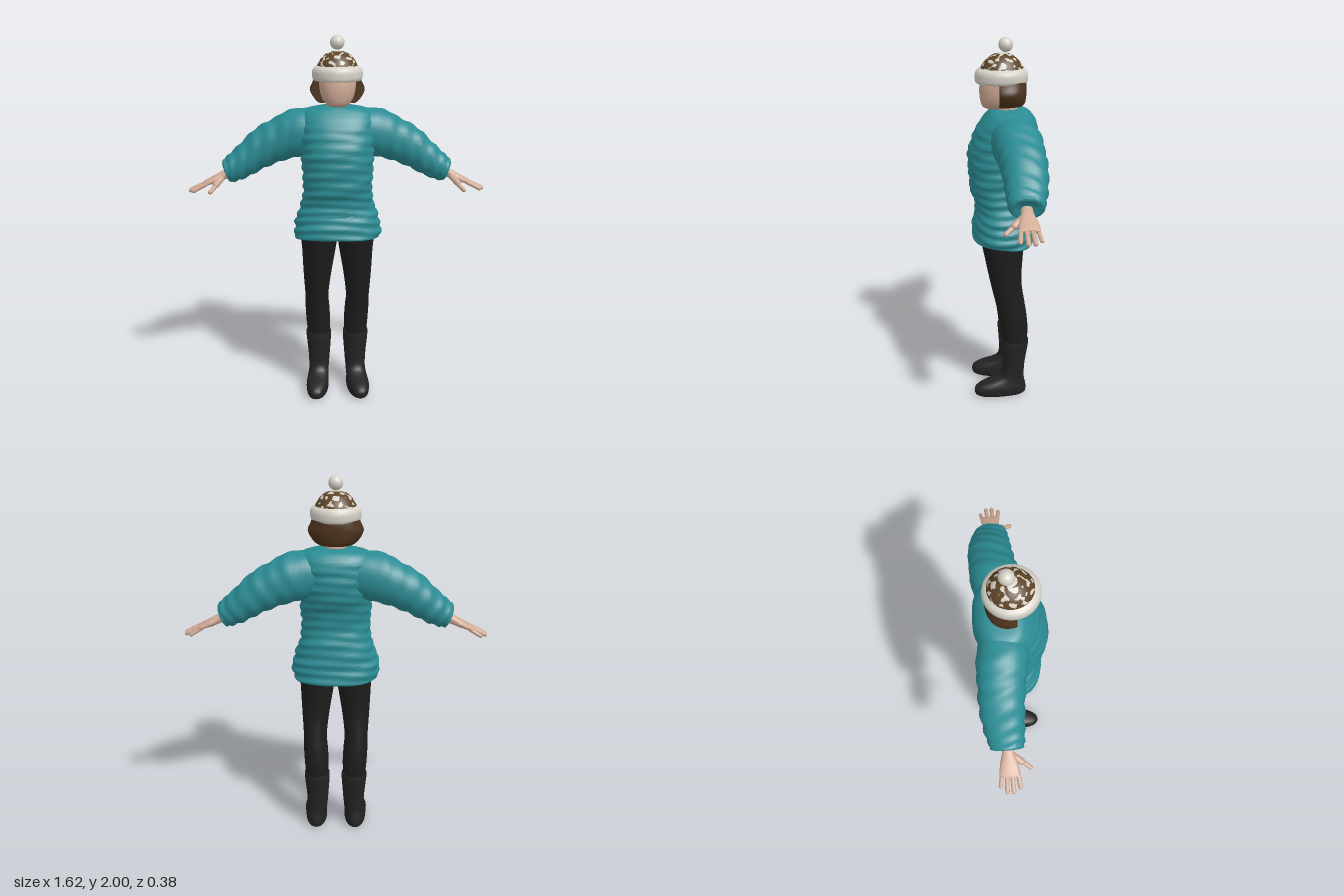
import * as THREE from 'three';
import { toCreasedNormals } from 'three/addons/utils/BufferGeometryUtils.js';

const mat = (name, color) => Object.assign(new THREE.MeshStandardMaterial({ color }), { name });

// Smooth skin through rings [ax, ay, bx, by, z0, z1]: a-b is the ring's width in xy, z0-z1 its depth.
function loft(rings, { sides = 28, steps = 4, power = 1, shape = null, crease = 1 } = {}) {
  const pos = [], index = [], count = (rings.length - 1) * steps + 1;
  const at = (t, k) => {
    const i = Math.min(Math.floor(t), rings.length - 2), f = t - i;
    const p = j => rings[Math.max(0, Math.min(rings.length - 1, j))][k];
    const a = p(i - 1), b = p(i), c = p(i + 1), d = p(i + 2);
    return b + 0.5 * f * (c - a + f * (2 * a - 5 * b + 4 * c - d + f * (3 * (b - c) + d - a)));
  };
  const bend = v => Math.sign(v) * Math.abs(v) ** power;
  for (let r = 0; r < count; r++) {
    const [ax, ay, bx, by, z0, z1] = [0, 1, 2, 3, 4, 5].map(k => at(r / steps, k));
    for (let s = 0; s < sides; s++) {
      const angle = s / sides * Math.PI * 2, u = bend(Math.cos(angle)) / 2, v = bend(Math.sin(angle)) / 2;
      const p = new THREE.Vector3((ax + bx) / 2 + (ax - bx) * u, (ay + by) / 2 + (ay - by) * u, (z0 + z1) / 2 + (z1 - z0) * v);
      if (shape) shape(p, angle, r / (count - 1));
      pos.push(p.x, p.y, p.z);
    }
  }
  for (let r = 0; r < count - 1; r++) for (let s = 0; s < sides; s++) {
    const a = r * sides + s, b = r * sides + (s + 1) % sides;
    index.push(a, b, a + sides, b, b + sides, a + sides);
  }
  // End caps
  for (const [start, flip] of [[0, false], [(count - 1) * sides, true]]) {
    const c = [0, 0, 0];
    for (let s = 0; s < sides; s++) for (let k = 0; k < 3; k++) c[k] += pos[(start + s) * 3 + k] / sides;
    const mid = pos.length / 3;
    pos.push(...c);
    for (let s = 0; s < sides; s++) {
      const a = start + s, b = start + (s + 1) % sides;
      index.push(...(flip ? [a, b, mid] : [b, a, mid]));
    }
  }
  // Turn the faces outward whichever way the rings run
  let volume = 0;
  const corner = i => new THREE.Vector3().fromArray(pos, i * 3);
  for (let i = 0; i < index.length; i += 3) volume += corner(index[i]).dot(corner(index[i + 1]).cross(corner(index[i + 2])));
  if (volume < 0) index.reverse();
  const g = new THREE.BufferGeometry();
  g.setAttribute('position', new THREE.Float32BufferAttribute(pos, 3));
  g.setIndex(index);
  return toCreasedNormals(g, crease);
}

// Level rings [y, x0, x1, z0, z1] and symmetric ones [y, halfWidth, z0, z1]
const level = (rows, s = 1) => rows.map(([y, x0, x1, z0, z1]) => [s * x1, y, s * x0, y, z0, z1]);
const even = rows => level(rows.map(([y, w, z0, z1]) => [y, -w, w, z0, z1]));

export function createModel() {
  const group = new THREE.Group();
  const teal = mat('teal knit', 0x2b8c94), skin = mat('skin', 0xd0aa95), hairMat = mat('brown hair', 0x4b321c);
  const white = mat('white wool', 0xd6d2c8), brown = mat('brown wool', 0x5e4426);
  const legMat = mat('black leggings', 0x1d1d1d), bootMat = mat('dark boots', 0x232323);
  const add = (name, geometry, material, parent = group) => {
    const m = new THREE.Mesh(geometry, material);
    m.name = name;
    parent.add(m);
    return m;
  };

  // Wrinkled sweater body, hem lower at the back
  add('sweaterBody', loft(even([
    [0.965, 0.19, -0.12, 0.13], [0.92, 0.232, -0.155, 0.165], [0.98, 0.235, -0.155, 0.165],
    [1.04, 0.222, -0.15, 0.155], [1.12, 0.195, -0.145, 0.15], [1.2, 0.185, -0.13, 0.175],
    [1.3, 0.19, -0.14, 0.183], [1.4, 0.195, -0.175, 0.187], [1.5, 0.2, -0.182, 0.155],
    [1.57, 0.2, -0.175, 0.115], [1.615, 0.17, -0.145, 0.075], [1.635, 0.075, -0.11, 0.05],
  ]), {
    sides: 48, steps: 7, power: 0.85,
    shape: (p, a) => {
      const calm = THREE.MathUtils.smoothstep(1.62 - p.y, 0, 0.15);
      const k = 1 + calm * (0.025 * Math.sin(p.y * 125 + 2 * Math.sin(a * 2 + 1)) + 0.012 * Math.sin(p.y * 60 + a * 3));
      p.x *= k;
      p.z *= k;
      p.y += 0.09 * p.z * THREE.MathUtils.smoothstep(1.15 - p.y, 0, 0.15);
    },
  }), teal);

  for (const s of [1, -1]) {
    const side = s > 0 ? 'left' : 'right';

    // Baggy sleeve, gathered at the cuff
    add(side + 'Sleeve', loft([
      [0.08, 1.62, 0.12, 1.37, -0.16, 0.08], [0.24, 1.612, 0.19, 1.36, -0.182, 0.075],
      [0.34, 1.562, 0.29, 1.335, -0.183, 0.055], [0.44, 1.505, 0.39, 1.295, -0.183, 0.042],
      [0.53, 1.42, 0.48, 1.248, -0.17, 0.035], [0.595, 1.36, 0.55, 1.222, -0.15, 0.03],
      [0.622, 1.33, 0.58, 1.222, -0.135, 0.018], [0.6, 1.3, 0.585, 1.25, -0.09, -0.02],
    ].map(([ax, ay, bx, by, z0, z1]) => [s * ax, ay, s * bx, by, z0, z1]), {
      sides: 32, steps: 6, power: 0.9,
      shape: (p, a, t) => {
        const w = 0.005 * Math.sin(t * 55 + 2 * Math.sin(a * 2)) * Math.sin(t * Math.PI);
        p.y += w * Math.cos(a);
        p.z += w * Math.sin(a);
      },
    }), teal);

    // Hand: wrist and palm, four fingers and a thumb
    const hand = new THREE.Group();
    hand.name = side + 'Hand';
    group.add(hand);
    add('palm', loft([
      [0.565, 1.305, 0.55, 1.255, -0.085, -0.028], [0.625, 1.278, 0.61, 1.232, -0.087, -0.025],
      [0.67, 1.252, 0.66, 1.214, -0.1, -0.01], [0.72, 1.225, 0.713, 1.2, -0.107, -0.003],
      [0.732, 1.217, 0.728, 1.2, -0.1, -0.012],
    ].map(([ax, ay, bx, by, z0, z1]) => [s * ax, ay, s * bx, by, z0, z1]), { sides: 18, power: 0.85 }), skin, hand);
    const finger = (name, a, b, r) => {
      const from = new THREE.Vector3(s * a[0], a[1], a[2]), to = new THREE.Vector3(s * b[0], b[1], b[2]);
      const dir = to.clone().sub(from), length = dir.length();
      const m = add(name, new THREE.CapsuleGeometry(r, length - 2 * r, 4, 10), skin, hand);
      m.position.copy(from).add(to).multiplyScalar(0.5);
      m.quaternion.setFromUnitVectors(new THREE.Vector3(0, 1, 0), dir.normalize());
    };
    finger('indexFinger', [0.7, 1.217, -0.016], [0.788, 1.173, -0.004], 0.0115);
    finger('middleFinger', [0.7, 1.217, -0.042], [0.808, 1.17, -0.04], 0.012);
    finger('ringFinger', [0.7, 1.217, -0.068], [0.805, 1.17, -0.073], 0.0115);
    finger('littleFinger', [0.7, 1.215, -0.092], [0.775, 1.173, -0.106], 0.01);
    finger('thumbBase', [0.62, 1.25, -0.045], [0.665, 1.205, 0.022], 0.018);
    finger('thumbTip', [0.65, 1.215, 0.005], [0.688, 1.178, 0.06], 0.012);

    // Leg and tall boot
    add(side + 'Leg', loft(level([
      [0.3, 0.045, 0.165, -0.12, 0.01], [0.4, 0.04, 0.175, -0.13, 0.02], [0.5, 0.045, 0.18, -0.121, 0.035],
      [0.57, 0.05, 0.18, -0.11, 0.05], [0.7, 0.035, 0.188, -0.092, 0.08], [0.85, 0.01, 0.195, -0.1, 0.11],
      [0.93, 0, 0.2, -0.11, 0.125], [1, 0, 0.18, -0.11, 0.12],
    ], s)), legMat);
    add(side + 'Boot', loft(level([
      [0, 0.065, 0.16, -0.105, 0.15], [0.015, 0.052, 0.172, -0.12, 0.17], [0.05, 0.05, 0.175, -0.12, 0.17],
      [0.075, 0.052, 0.17, -0.115, 0.135], [0.1, 0.05, 0.164, -0.11, 0.06], [0.13, 0.048, 0.162, -0.11, 0.02],
      [0.2, 0.042, 0.165, -0.115, 0.012], [0.33, 0.034, 0.177, -0.134, 0.02], [0.333, 0.05, 0.165, -0.12, 0.01],
    ], s), { power: 0.9, shape: p => { p.x += s * 0.08 * Math.max(0, p.z); } }), bootMat);
  }

  // Neck and plain face
  const neck = add('neck', new THREE.CylinderGeometry(0.058, 0.062, 0.12, 24), skin);
  neck.position.set(0, 1.63, -0.02);
  add('head', loft(even([
    [1.636, 0.035, 0, 0.085], [1.65, 0.062, -0.05, 0.108], [1.69, 0.086, -0.08, 0.12],
    [1.75, 0.097, -0.09, 0.122], [1.82, 0.095, -0.09, 0.11],
  ]), { power: 0.85 }), skin);

  // Bobbed hair, cut off flat beside the face
  add('hair', loft(even([
    [1.652, 0.095, -0.105, 0.1], [1.67, 0.118, -0.117, 0.1], [1.72, 0.145, -0.122, 0.1],
    [1.765, 0.128, -0.122, 0.1], [1.82, 0.11, -0.11, 0.1],
  ]), { sides: 40, power: 0.9, shape: p => { p.z = Math.min(p.z, 0.025); } }), hairMat);

  // Knitted hat: rolled brim, speckled crown, bobble
  add('hatBrim', loft(even([
    [1.768, 0.108, -0.11, 0.122], [1.772, 0.127, -0.126, 0.142], [1.8, 0.133, -0.131, 0.146],
    [1.828, 0.129, -0.126, 0.141], [1.845, 0.108, -0.11, 0.122],
  ]), { sides: 40 }), white);
  const crown = new THREE.SphereGeometry(1, 88, 30, 0, Math.PI * 2, 0, Math.PI / 2);
  crown.scale(0.115, 0.125, 0.12);
  const p = crown.attributes.position, faces = [[], []];
  for (let i = 0; i < crown.index.count; i += 3) {
    const tri = [0, 1, 2].map(k => crown.index.getX(i + k));
    const [x, y, z] = ['getX', 'getY', 'getZ'].map(f => (p[f](tri[0]) + p[f](tri[1]) + p[f](tri[2])) / 3);
    const speckle = Math.sin(130 * x + 2 * Math.sin(90 * z + 1)) + Math.sin(120 * z + 2 * Math.sin(110 * y))
      + Math.sin(140 * y + 2 * Math.sin(100 * x + 2));
    faces[speckle > 0.75 || Math.hypot(x, z) < 0.03 ? 1 : 0].push(...tri);
  }
  crown.setIndex([...faces[0], ...faces[1]]);
  crown.clearGroups();
  crown.addGroup(0, faces[0].length, 0);
  crown.addGroup(faces[0].length, faces[1].length, 1);
  add('hatCrown', crown, [brown, white]).position.set(0, 1.798, 0.004);
  add('hatBobble', new THREE.SphereGeometry(0.038, 24, 16), white).position.set(0, 1.962, -0.015);

  return group;
}
